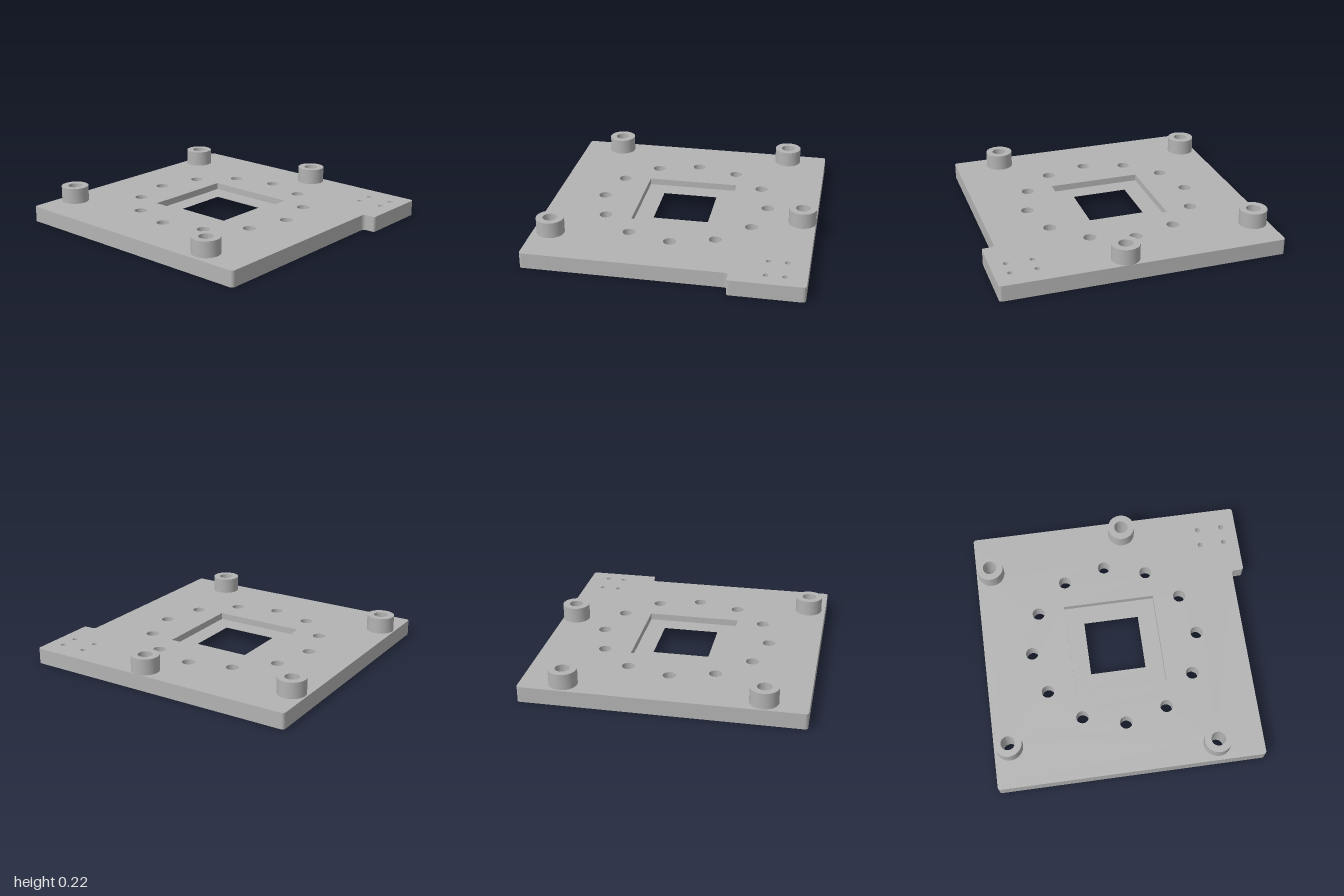
import * as THREE from 'three';
import { toCreasedNormals } from 'three/addons/utils/BufferGeometryUtils.js';

const PLATE_TOP = 0.112, FLOOR_TOP = 0.064, BOSS_TOP = 0.225;
const BOSS_R = 0.098, BORE_R = 0.05;

// Bosses as [x, z]
const bosses = [[-0.89, -0.677], [0.124, -0.875], [-0.89, 0.675], [0.576, 0.845]];

// Plans are drawn in x and z; the shape's y is -z
function circle(x, z, r, Type = THREE.Path) {
  return new Type().absarc(x, -z, r, 0, Math.PI * 2);
}

function rectangle(x0, x1, z0, z1, Type = THREE.Path) {
  return new Type([[x0, z0], [x1, z0], [x1, z1], [x0, z1]].map(([x, z]) => new THREE.Vector2(x, -z)));
}

// Closed outline from [x, z, radius] corners
function roundedOutline(corners) {
  const shape = new THREE.Shape();
  const pts = corners.map(([x, z]) => new THREE.Vector2(x, -z));
  const n = pts.length;
  pts.forEach((p, i) => {
    const r = corners[i][2];
    const toward = (q) => q.clone().sub(p).setLength(r).add(p);
    const a = toward(pts[(i + n - 1) % n]), b = toward(pts[(i + 1) % n]);
    if (i === 0) shape.moveTo(a.x, a.y);
    else shape.lineTo(a.x, a.y);
    shape.quadraticCurveTo(p.x, p.y, b.x, b.y);
  });
  shape.closePath();
  return shape;
}

// Raise a plan from y0 to y1
function raise(name, shape, y0, y1, material) {
  const geo = new THREE.ExtrudeGeometry(shape, { depth: y1 - y0, bevelEnabled: false, curveSegments: 20 });
  geo.rotateX(-Math.PI / 2).translate(0, y0, 0);
  const mesh = new THREE.Mesh(toCreasedNormals(geo, 0.5), material);
  mesh.name = name;
  return mesh;
}

export function createModel() {
  const group = new THREE.Group();
  group.name = 'mountingPlate';
  const metal = new THREE.MeshStandardMaterial({ color: 0xb3b3b3 });
  metal.name = 'grey metal';

  // Plate with a tab at the back left corner
  const plate = roundedOutline([
    [-1, 0.972, 0.025], [0.91, 0.972, 0.025], [0.91, -0.455, 0.03],
    [1, -0.455, 0.02], [1, -0.972, 0.025], [-1, -0.972, 0.025],
  ]);

  // Ring of twelve holes around the window
  for (let i = 0; i < 12; i++) {
    const a = (i * Math.PI) / 6;
    plate.holes.push(circle(-0.044 + 0.61 * Math.cos(a), 0.61 * Math.sin(a), 0.045));
  }
  // Small holes in the tab corner
  for (const x of [0.71, 0.891])
    for (const z of [-0.825, -0.699]) plate.holes.push(circle(x, z, 0.019));
  // Bores below the bosses and the recess opening
  for (const [x, z] of bosses) plate.holes.push(circle(x, z, BORE_R));
  plate.holes.push(rectangle(-0.38, 0.29, -0.334, 0.334));
  group.add(raise('plate', plate, 0, PLATE_TOP, metal));

  // Sunken floor with the square window
  const floor = rectangle(-0.38, 0.29, -0.334, 0.334, THREE.Shape);
  floor.holes.push(rectangle(-0.245, 0.157, -0.2, 0.2));
  group.add(raise('recessFloor', floor, 0, FLOOR_TOP, metal));

  // Hollow standoff bosses
  bosses.forEach(([x, z], i) => {
    const ring = circle(x, z, BOSS_R, THREE.Shape);
    ring.holes.push(circle(x, z, BORE_R));
    group.add(raise(`boss${i + 1}`, ring, PLATE_TOP, BOSS_TOP, metal));
  });

  return group;
}
